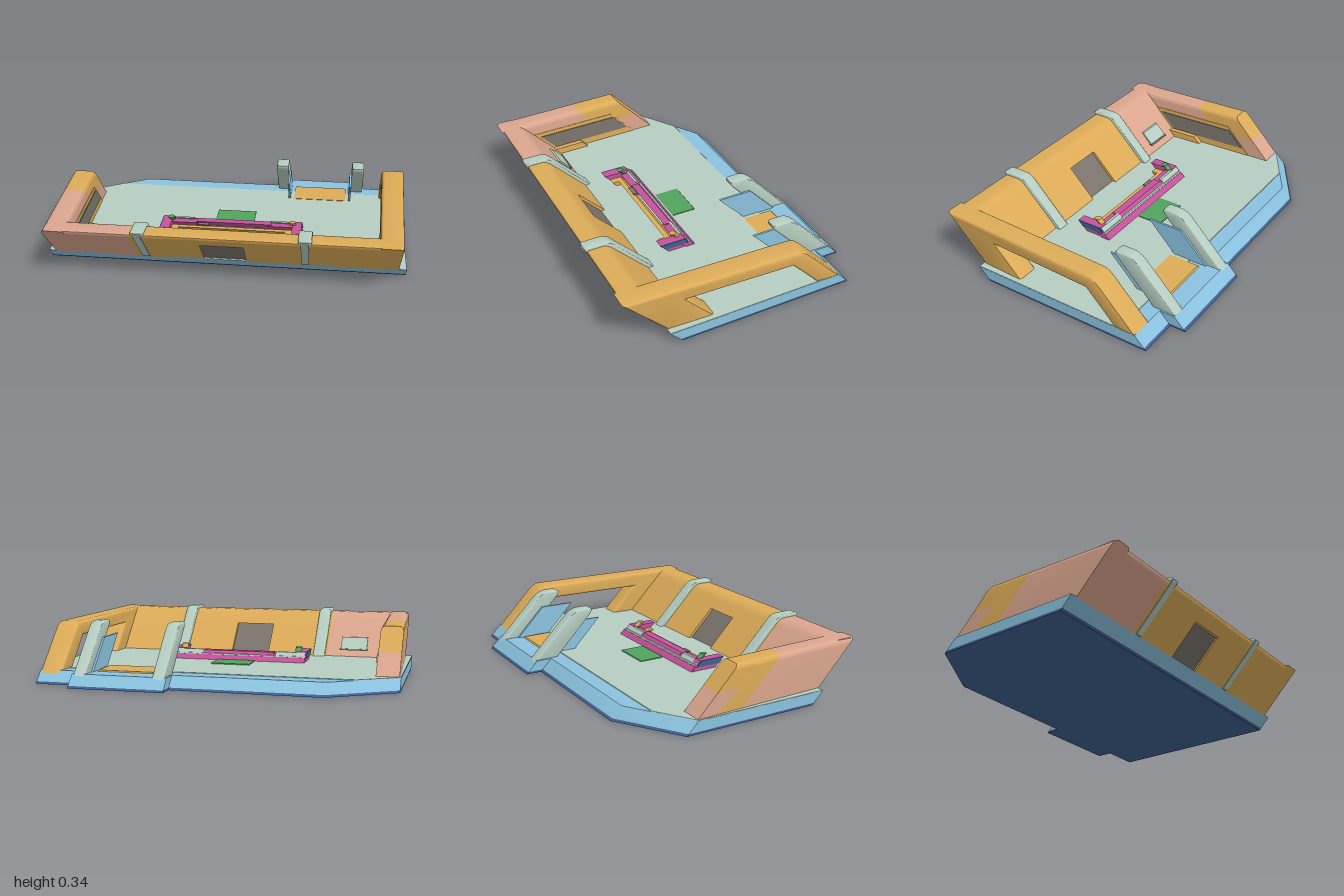
import * as THREE from 'three';
import { toCreasedNormals } from 'three/addons/utils/BufferGeometryUtils.js';

const LEAN = 0.97; // everything leans forward: z grows with height

const paint = (name, color) => {
  const m = new THREE.MeshStandardMaterial({ color });
  m.name = name;
  return m;
};

export function createModel() {
  const model = new THREE.Group();
  model.name = 'leaningRoom';
  const gold = paint('gold', 0xdcab58);
  const salmon = paint('salmon', 0xdba68e);
  const blue = paint('light blue', 0x8ac2de);
  const pale = paint('pale green grey', 0xb6cdc1);
  const navy = paint('navy', 0x3f5f90);
  const magenta = paint('magenta', 0xc4529a);
  const green = paint('green', 0x50a45c);
  const dark = paint('dark grey', 0x7a746c);

  // lean the part, and for side walls narrow it a little toward the front
  function add(name, geo, mat, taper = false) {
    const g = geo.index ? geo.toNonIndexed() : geo;
    const p = g.attributes.position;
    for (let i = 0; i < p.count; i++) {
      const z = p.getZ(i);
      if (taper) p.setX(i, p.getX(i) * (1 - 0.04 * (z + 0.63) / 1.03));
      p.setZ(i, z + LEAN * p.getY(i));
    }
    const mesh = new THREE.Mesh(toCreasedNormals(g, 0.6), mat);
    mesh.name = name;
    model.add(mesh);
    return mesh;
  }
  // box given by its limits
  function box(name, x0, x1, y0, y1, z0, z1, mat, taper) {
    const g = new THREE.BoxGeometry(x1 - x0, y1 - y0, z1 - z0);
    g.translate((x0 + x1) / 2, (y0 + y1) / 2, (z0 + z1) / 2);
    return add(name, g, mat, taper);
  }
  const polygon = pts => new THREE.Shape(pts.map(p => new THREE.Vector2(p[0], p[1])));
  // upright rectangle with rounded top corners
  function rounded(a, b, y0, y1, r) {
    const s = new THREE.Shape();
    s.moveTo(a, y0);
    s.lineTo(b, y0);
    s.lineTo(b, y1 - r);
    s.quadraticCurveTo(b, y1, b - r, y1);
    s.lineTo(a + r, y1);
    s.quadraticCurveTo(a, y1, a, y1 - r);
    return s;
  }
  // outline in (z, y), extruded across x0..x1
  function across(name, shape, x0, x1, mat, bevel = 0, taper = false) {
    const g = new THREE.ExtrudeGeometry(shape, {
      depth: x1 - x0 - 2 * bevel, curveSegments: 5, bevelEnabled: bevel > 0,
      bevelThickness: bevel, bevelSize: bevel, bevelOffset: -bevel, bevelSegments: 3,
    });
    g.rotateY(-Math.PI / 2).translate(x1 - bevel, 0, 0);
    return add(name, g, mat, taper);
  }
  // outline in (x, y), extruded along z0..z1
  function along(name, shape, z0, z1, mat) {
    const g = new THREE.ExtrudeGeometry(shape, { depth: z1 - z0, bevelEnabled: false, curveSegments: 5 });
    return add(name, g.translate(0, 0, z0), mat, true);
  }
  // plan in (x, z), raised from y0 to y1
  function slab(name, plan, y0, y1, mat) {
    const g = new THREE.ExtrudeGeometry(polygon(plan.map(([x, z]) => [x, -z])), { depth: y1 - y0, bevelEnabled: false });
    return add(name, g.rotateX(-Math.PI / 2).translate(0, y0, 0), mat);
  }

  // base with a cut corner and a tab at the back
  const plan = [[-1, 0.4], [1, 0.4], [1, -0.63], [0.77, -0.63], [0.77, -0.72],
    [0.22, -0.72], [0.22, -0.63], [-0.63, -0.63], [-1, -0.4]];
  slab('underside', plan, 0, 0.012, navy);
  slab('base', plan, 0.012, 0.07, blue);
  slab('floor', [[-0.999, 0.398], [0.999, 0.398], [0.999, -0.538], [-0.778, -0.538], [-0.999, -0.4]], 0.069, 0.073, pale);
  box('floorHatch', 0.34, 0.66, 0.07, 0.077, -0.61, -0.43, gold);
  box('floorPad', -0.11, 0.12, 0.07, 0.078, -0.215, -0.07, green);

  // front wall, with a doorway
  const wall = rounded(0.27, 0.4, 0.06, 0.32, 0.03);
  across('frontWallCorner', wall, -0.95, -0.49, salmon);
  across('frontWall', wall, -0.49, -0.115, gold);
  across('frontWall', wall, 0.12, 0.94, gold);
  across('doorLintel', rounded(0.27, 0.4, 0.24, 0.32, 0.03), -0.115, 0.12, gold);
  box('door', -0.115, 0.12, 0.065, 0.24, 0.292, 0.385, dark);
  box('wallBox', -0.73, -0.57, 0.115, 0.18, 0.258, 0.272, pale);
  box('wallBoxLid', -0.735, -0.565, 0.108, 0.116, 0.255, 0.272, dark);

  // ribs over the front wall
  for (const x of [-0.44, 0.447]) {
    across('wallRib', rounded(0.24, 0.398, 0.06, 0.336, 0.03), x - 0.036, x + 0.036, pale, 0.008);
    across('wallRibStrip', rounded(0.36, 0.406, 0.071, 0.325, 0.015), x - 0.021, x + 0.021, pale);
  }

  // side wall with a large opening
  const side = new THREE.Shape();
  side.moveTo(-0.63, 0.05);
  side.lineTo(-0.63, 0.28);
  side.quadraticCurveTo(-0.63, 0.32, -0.59, 0.32);
  for (const [z, y] of [[0.4, 0.32], [0.4, 0.05], [0.13, 0.05], [0.13, 0.235], [-0.49, 0.235], [-0.49, 0.05]]) side.lineTo(z, y);
  across('openSideWall', side, 0.87, 1, gold, 0.018, true);

  // closed side wall, in painted sections
  const closed = rounded(-1, -0.87, 0.06, 0.32, 0.03);
  along('sideWallFront', closed, -0.12, 0.4, salmon);
  along('sideWallMiddle', closed, -0.27, -0.12, gold);
  along('sideWallBackTop', rounded(-1, -0.87, 0.19, 0.32, 0.03), -0.4, -0.27, gold);
  box('sideWallBackFoot', -1, -0.87, 0.06, 0.19, -0.4, -0.27, salmon, true);
  box('sideWallLining', -0.872, -0.867, 0.07, 0.24, -0.27, 0.27, gold, true);
  box('sideScreen', -0.87, -0.862, 0.115, 0.215, -0.26, 0.25, dark, true);
  box('sideLedge', -0.87, -0.835, 0.07, 0.112, 0.08, 0.27, gold, true);

  // pair of fins on the tab, with thin guards inside
  for (const s of [-1, 1]) {
    const x = 0.496 + s * 0.229;
    across('fin', rounded(-0.72, -0.58, 0.06, 0.335, 0.045), x - 0.036, x + 0.036, pale, 0.01);
    const g = 0.496 + s * 0.186;
    box('finGuard', g - 0.006, g + 0.006, 0.07, 0.245, -0.64, -0.435, blue);
  }

  // control desk
  box('deskBack', -0.405, 0.412, 0.07, 0.1, -0.058, 0, magenta);
  box('deskRail', -0.405, 0.412, 0.1, 0.106, -0.056, -0.045, pale);
  box('deskCentre', -0.21, 0.23, 0.07, 0.122, -0.045, 0, magenta);
  for (const s of [-1, 1]) {
    const at = (name, a, b, ...rest) => box(name, s < 0 ? -b : a, s < 0 ? -a : b, ...rest);
    at('deskSideBlock', 0.21, 0.37, 0.07, 0.115, -0.04, 0.012, magenta);
    at('deskScreen', 0.225, 0.4, 0.1, 0.126, -0.05, -0.034, pale);
    at('deskArm', 0.353, 0.406, 0.07, 0.13, -0.05, 0.105, magenta);
    at('deskArmPlate', 0.405, 0.411, 0.095, 0.13, -0.045, 0.105, navy);
    at('trayLeg', 0.31, 0.354, 0.07, 0.1, 0.035, 0.1, gold);
    const knob = new THREE.CylinderGeometry(0.02, 0.02, 0.025, 10);
    add('deskKnob', knob.translate(s * 0.355, 0.14, -0.02), s < 0 ? green : gold);
  }
  box('tray', -0.35, 0.35, 0.07, 0.1, 0.03, 0.06, gold);
  box('deskButton', -0.2, -0.13, 0.1, 0.115, 0.005, 0.033, dark);

  return model;
}
